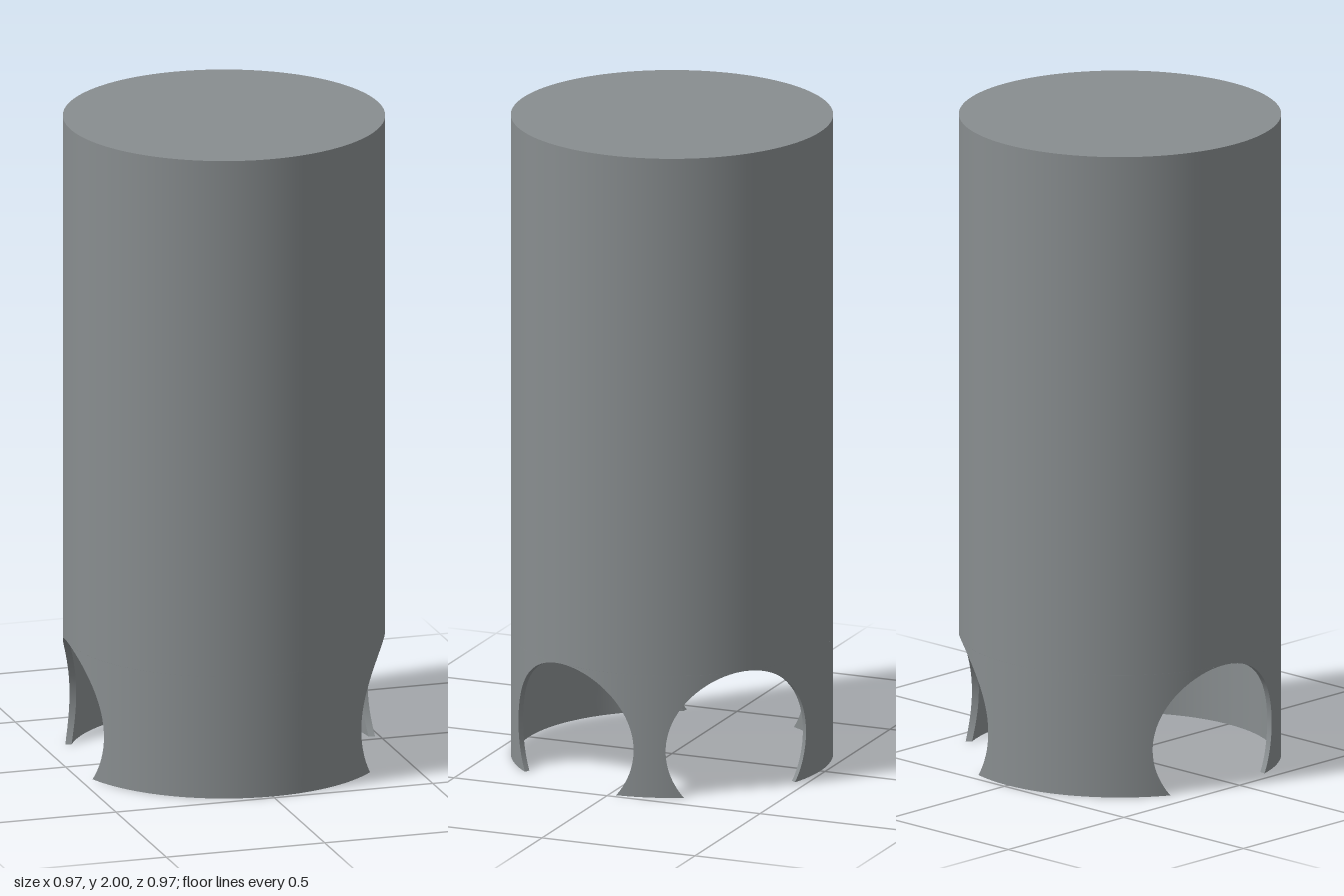
import * as THREE from 'three';
import { ParametricGeometry } from 'three/addons/geometries/ParametricGeometry.js';

const R = 0.485, WALL = 0.018, RI = R - WALL, HEIGHT = 2;
// Round cut-outs bored radially through the wall, open at the bottom edge
const HOLE_R = 0.237, HOLE_Y = 0.145, HOLE_TOP = HOLE_R + HOLE_Y;
const HOLES = [-50, 20, 185, 310].map(THREE.MathUtils.degToRad);
const START = Math.asin(-HOLE_Y / HOLE_R);

export function createModel() {
  const group = new THREE.Group();
  const grey = new THREE.MeshStandardMaterial({ color: 0x888d8f, side: THREE.DoubleSide });
  grey.name = 'steel grey';

  const add = (name, geometry) => {
    const mesh = new THREE.Mesh(geometry, grey);
    mesh.name = name;
    group.add(mesh);
    return mesh;
  };
  const surface = (name, fn, nu, nv) => {
    const geometry = new ParametricGeometry((u, v, p) => fn(u, v, p), nu, nv);
    geometry.computeVertexNormals();
    return add(name, geometry);
  };
  const polar = (p, r, a, y) => p.set(r * Math.cos(a), y, r * Math.sin(a));

  // Closed upper body: outer and inner wall, top cap and its underside
  const outer = new THREE.CylinderGeometry(R, R, HEIGHT - HOLE_TOP, 120, 1, true);
  add('upperWallOutside', outer).position.y = (HEIGHT + HOLE_TOP) / 2;
  surface('upperWallInside', (u, v, p) =>
    polar(p, RI, u * Math.PI * 2, HOLE_TOP + v * (HEIGHT - WALL - HOLE_TOP)), 120, 1);
  const cap = add('topCap', new THREE.CircleGeometry(R, 120));
  cap.rotation.x = -Math.PI / 2;
  cap.position.y = HEIGHT;
  const ceiling = add('capUnderside', new THREE.CircleGeometry(RI, 120));
  ceiling.rotation.x = Math.PI / 2;
  ceiling.position.y = HEIGHT - WALL;

  // v runs up the hole outline, from the bottom edge to the crown
  const rise = (v) => START + v * (Math.PI / 2 - START);
  const rowY = (v) => HOLE_Y + HOLE_R * Math.sin(rise(v));
  const half = (v, r) => Math.asin((HOLE_R * Math.cos(rise(v))) / r);

  // Wall panels standing between neighbouring cut-outs
  for (let i = 0; i < 3; i++) {
    const from = HOLES[i], to = HOLES[i + 1];
    const columns = Math.ceil((to - from) / 0.05);
    const angle = (t, v, r) =>
      THREE.MathUtils.lerp(from + half(v, r), to - half(v, r), t);

    surface('legOutside', (u, v, p) => polar(p, R, angle(1 - u, v, R), rowY(v)), columns, 32);
    surface('legInside', (u, v, p) => polar(p, RI, angle(u, v, RI), rowY(v)), columns, 32);

    // Bottom rim and the two cut edges give the wall its thickness
    const across = (p, w, t, v) => {
      const r = THREE.MathUtils.lerp(RI, R, w);
      return polar(p, r, angle(t, v, r), rowY(v));
    };
    surface('bottomRim', (u, v, p) => across(p, u, v, 0), 1, columns);
    surface('cutEdgeStart', (u, v, p) => across(p, 1 - u, 0, v), 1, 32);
    surface('cutEdgeEnd', (u, v, p) => across(p, u, 1, v), 1, 32);
  }
  // Rim and cut edges face away from the wall material
  group.traverse((part) => {
    if (!/^(bottomRim|cutEdge)/.test(part.name)) return;
    const normal = new THREE.Vector3().fromBufferAttribute(part.geometry.attributes.normal, 0);
    const a = new THREE.Vector3().fromBufferAttribute(part.geometry.attributes.position, 0);
    const tangent = new THREE.Vector3(-a.z, 0, a.x);
    const wrong = part.name === 'bottomRim' ? normal.y > 0
      : part.name === 'cutEdgeStart' ? normal.dot(tangent) > 0 : normal.dot(tangent) < 0;
    if (!wrong) return;
    part.geometry.index.array.reverse();
    part.geometry.computeVertexNormals();
  });
  return group;
}
